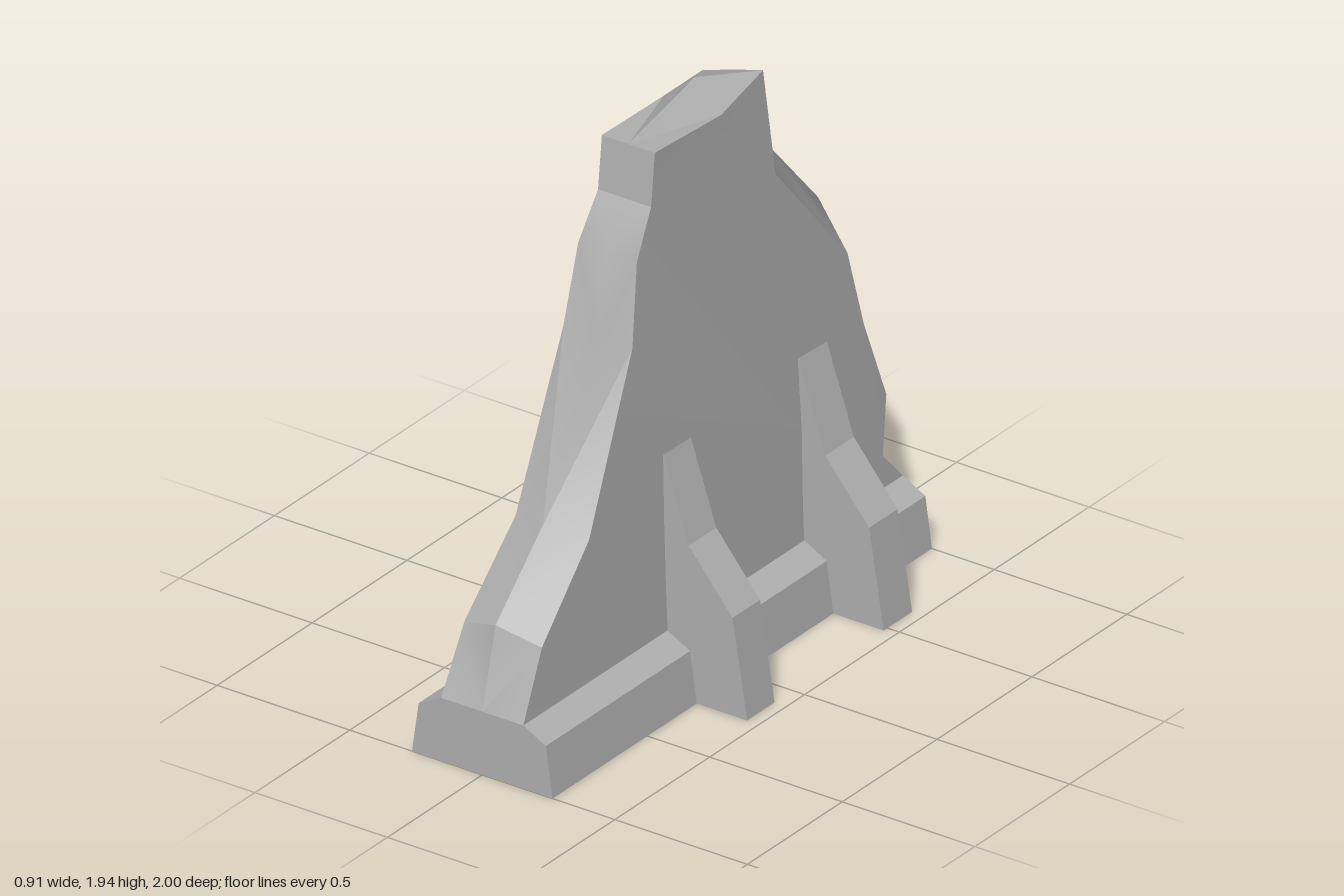
import * as THREE from 'three';
import { toCreasedNormals } from 'three/addons/utils/BufferGeometryUtils.js';

const stone = new THREE.MeshStandardMaterial({ color: 0xb0b0b0, side: THREE.DoubleSide });
stone.name = 'grey stone';

// Half thickness of the wall at a given height
const taper = [[0.22, 0.155], [0.6, 0.14], [1.26, 0.13], [1.68, 0.1], [2, 0.1]];
function halfWidth(y) {
  for (let i = 1; i < taper.length; i++) {
    const [y0, w0] = taper[i - 1], [y1, w1] = taper[i];
    if (y <= y1) return w0 + (w1 - w0) * (y - y0) / (y1 - y0);
  }
  return 0.1;
}

// Broken rim from front foot over the top to back foot: [z, y] on left face, middle, right face
const rim = [
  [[1, 0.22]],
  [[0.89, 0.44], [0.93, 0.49], [0.89, 0.44]],
  [[0.63, 0.7], [0.68, 0.73], [0.63, 0.7]],
  [[0.39, 1.26]],
  [[0.34, 1.53]],
  [[0.25, 1.68]],
  [[0.23, 1.86]],
  [[-0.12, 1.84], [-0.12, 1.94], [-0.1, 1.855]],
  [[-0.34, 1.9], [-0.32, 1.88], [-0.3, 1.855]],
  [[-0.39, 1.52], [-0.45, 1.6], [-0.48, 1.48]],
  [[-0.74, 1.1], [-0.77, 1.24], [-0.74, 1.1]],
  [[-0.82, 0.82], [-0.92, 0.82], [-0.85, 0.82]],
  [[-0.93, 0.53], [-0.92, 0.53], [-0.93, 0.53]],
  [[-0.9, 0.33], [-0.87, 0.33], [-0.9, 0.33]],
  [[-1, 0.22]],
];

function geometryFrom(points) {
  const g = new THREE.BufferGeometry().setFromPoints(points);
  return toCreasedNormals(g, 0.4);
}

// Hollow wall slab, open underneath
function wallGeometry() {
  const columns = [1, 0, -1].map((side, c) => rim.map((station) => {
    const [z, y] = station[c] ?? station[0];
    return new THREE.Vector3(side * halfWidth(y), y, z);
  }));
  const [a, b, c] = columns;
  const tris = [];
  for (let i = 0; i < rim.length - 1; i++) {
    const j = i + 1;
    tris.push(b[i], a[i], a[j], b[i], a[j], b[j]);
    tris.push(c[i], b[i], c[j], b[i], b[j], c[j]);
  }
  // Side faces
  for (const [column, side] of [[a, 1], [c, -1]]) {
    const outline = column.map((p) => new THREE.Vector2(-p.z, p.y));
    for (const f of THREE.ShapeUtils.triangulateShape(outline, [])) {
      const [p, q, r] = f.map((k) => column[k]);
      const area = THREE.ShapeUtils.area(f.map((k) => outline[k]));
      if (area * side > 0) tris.push(p, q, r);
      else tris.push(p, r, q);
    }
  }
  return geometryFrom(tris);
}

// Bevelled plinth shell, open underneath and where the wall joins
function plinthGeometry() {
  const half = [[0.265, 0], [0.24, 0.175], [0.155, 0.22]];
  const at = (side, k, z) => new THREE.Vector3(side * half[k][0], half[k][1], z);
  const tris = [];
  const quad = (p, q, r, s) => tris.push(p, q, r, p, r, s);
  for (let k = 0; k < 2; k++) {
    quad(at(1, k, 1), at(1, k, -1), at(1, k + 1, -1), at(1, k + 1, 1));
    quad(at(-1, k, -1), at(-1, k, 1), at(-1, k + 1, 1), at(-1, k + 1, -1));
    quad(at(-1, k, 1), at(1, k, 1), at(1, k + 1, 1), at(-1, k + 1, 1));
    quad(at(1, k, -1), at(-1, k, -1), at(-1, k + 1, -1), at(1, k + 1, -1));
  }
  return geometryFrom(tris);
}

// Pair of sloping buttresses joined through the wall
function buttressGeometry(depth) {
  const half = [[0.455, 0], [0.4, 0.34], [0.235, 0.54], [0.13, 0.85]];
  const mirrored = half.map(([x, y]) => [-x, y]).reverse();
  const shape = new THREE.Shape([...half, ...mirrored].map(([x, y]) => new THREE.Vector2(x, y)));
  return new THREE.ExtrudeGeometry(shape, { depth, bevelEnabled: false });
}

export function createModel() {
  const model = new THREE.Group();
  model.name = 'ruinedWall';
  const add = (name, geometry) => {
    const mesh = new THREE.Mesh(geometry, stone);
    mesh.name = name;
    model.add(mesh);
    return mesh;
  };
  add('brokenWall', wallGeometry());
  add('plinth', plinthGeometry());
  add('frontButtresses', buttressGeometry(0.145)).position.z = 0.095;
  add('backButtresses', buttressGeometry(0.15)).position.z = -0.63;
  return model;
}
